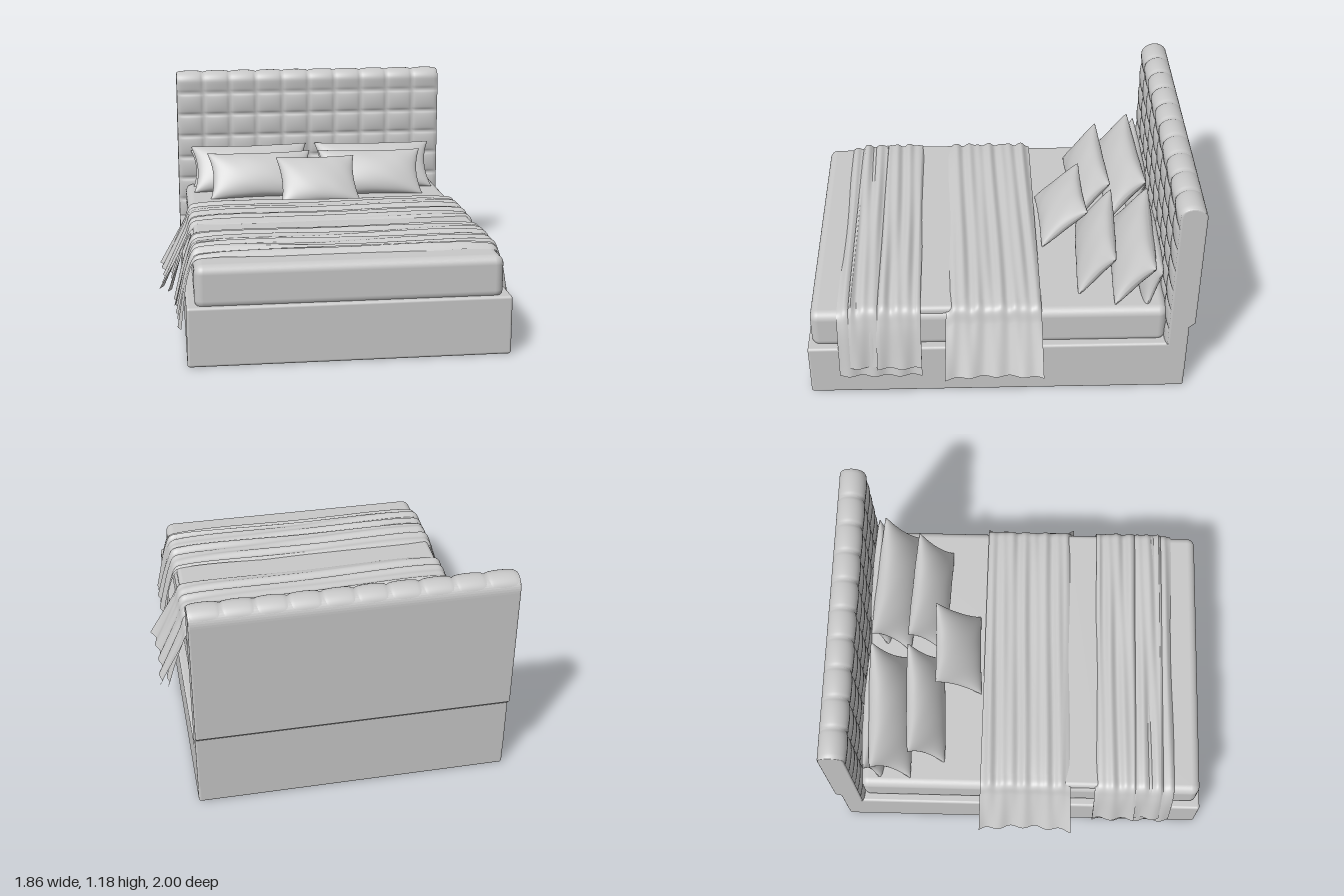
import * as THREE from 'three';
import { mergeGeometries } from 'three/addons/utils/BufferGeometryUtils.js';
import { RoundedBoxGeometry } from 'three/addons/geometries/RoundedBoxGeometry.js';
import { ParametricGeometry } from 'three/addons/geometries/ParametricGeometry.js';

const grey = new THREE.MeshStandardMaterial({ color: 0xc8c8c8, side: THREE.DoubleSide });
grey.name = 'light grey fabric';

function mesh(name, geometry) {
  const m = new THREE.Mesh(geometry, grey);
  m.name = name;
  return m;
}

function roundedBox(name, w, h, d, r, y, z) {
  const m = mesh(name, new RoundedBoxGeometry(w, h, d, 5, r));
  m.position.set(0, y, z);
  return m;
}

function surface(name, fn, nu, nv) {
  const g = new ParametricGeometry(fn, nu, nv);
  g.computeVertexNormals();
  return mesh(name, g);
}

// Headboard body: side profile (z, y) swept across the width
function headboardCore() {
  const s = new THREE.Shape();
  s.moveTo(-0.876, 0.1);
  s.lineTo(-0.876, 1.11);
  s.quadraticCurveTo(-0.876, 1.16, -0.93, 1.16);
  s.quadraticCurveTo(-0.99, 1.16, -0.99, 1.1);
  s.lineTo(-0.99, 0.44);
  s.lineTo(-0.96, 0.41);
  s.lineTo(-0.96, 0.1);
  const g = new THREE.ExtrudeGeometry(s, {
    depth: 1.58, bevelThickness: 0.01, bevelSize: 0.01, bevelSegments: 3, curveSegments: 10,
  });
  g.rotateY(-Math.PI / 2).translate(0.79, 0, 0);
  return mesh('headboardBody', g);
}

// Tufted face: ten columns and square rows, with the columns running over the top
function headboardTufts() {
  return surface('headboardTufting', (u, v, p) => {
    const puffX = Math.pow(Math.abs(Math.sin(Math.PI * u * 10)), 0.4);
    let y, z = -0.865, ny = 0, nz = 1, puffY;
    if (v <= 0.75) {
      const row = v * 8;
      y = 0.27 + 0.13 * row;
      puffY = Math.pow(Math.abs(Math.sin(Math.PI * row)), 0.4);
    } else {
      const w = (v - 0.75) * 4;
      const a = Math.max(0, (w - 0.2) / 0.8) * Math.PI;
      ny = Math.sin(a);
      nz = Math.cos(a);
      y = 1.05 + 0.065 * Math.min(1, w / 0.2) + 0.055 * ny;
      z = -0.93 + 0.065 * nz;
      puffY = Math.pow(Math.min(1, w * 4), 0.4) * (1 - w * w);
    }
    const d = 0.016 * puffX * puffY;
    p.set((u - 0.5) * 1.598, y + d * ny, z + d * nz);
  }, 120, 96);
}

// Throw draped over the mattress, with creases on top and flaps at both sides
function cloth(name, z0, z1, hemX, hemY, topY, seed, flare = 0) {
  const half = new THREE.CatmullRomCurve3([
    [0, topY], [0.68, topY], [0.75, topY - 0.015], [0.785, topY - 0.09], [hemX, hemY],
  ].map(([x, y]) => new THREE.Vector3(x, y, 0)));
  const c = new THREE.Vector3();
  return surface(name, (u, v, p) => {
    const s = 2 * u - 1;
    half.getPoint(Math.abs(s), c);
    const drop = THREE.MathUtils.clamp((topY - c.y) / (topY - hemY), 0, 1);
    const edge = Math.min(1, 12 * v, 12 * (1 - v));
    const x = Math.sign(s) * c.x;
    const end = 1 - 2 * v;
    const z = z1 + (z0 - z1) * v;
    const crease = 0.006 * Math.sin(z * 62 + seed + Math.sin(x * 3 + seed))
      + 0.005 * Math.sin(z * 101 + x * 2.5 + seed);
    const out = drop * (0.009 * Math.sin(z * 48 + seed) + flare * (end * end - 0.6));
    p.set(x + Math.sign(s) * out, c.y + (1 - drop) * (crease - 0.018 * (1 - edge)),
      z + drop * flare * 0.5 * end);
  }, 64, 60);
}

// Soft cushion with pinched sides and pointed corners
function pillow(name, w, h, t, [x, y, z], tilt, turn = 0) {
  const front = new THREE.PlaneGeometry(2, 2, 28, 24);
  const a = front.attributes.position;
  for (let i = 0; i < a.count; i++) {
    const u = Math.sin(a.getX(i) * Math.PI / 2), v = Math.sin(a.getY(i) * Math.PI / 2);
    const iu = 1 - u * u, iv = 1 - v * v;
    const bulge = Math.pow(Math.max(0, iu * iv), 0.42);
    const wrinkle = 1 + 0.04 * Math.sin(9 * u + 5 * v) * (1 - iu * iv);
    a.setXYZ(i, u * w / 2 * (1 - 0.09 * iv), v * h / 2 * (1 - 0.1 * iu), t / 2 * bulge * wrinkle);
  }
  front.computeVertexNormals();
  const m = mesh(name, mergeGeometries([front, front.clone().rotateY(Math.PI)]));
  m.position.set(x, y, z);
  m.rotation.set(tilt, turn, 0, 'YXZ');
  return m;
}

export function createModel() {
  const bed = new THREE.Group();
  bed.name = 'bed';

  // Frame and mattress
  bed.add(
    roundedBox('bedBase', 1.6, 0.3, 1.97, 0.014, 0.15, 0.015),
    headboardCore(),
    headboardTufts(),
    roundedBox('mattress', 1.52, 0.22, 1.84, 0.045, 0.39, 0.06),
    roundedBox('duvetFold', 1.49, 0.06, 0.24, 0.025, 0.493, 0.35),
  );

  // Wide throw in the middle, with a lining layer beneath
  bed.add(
    cloth('middleThrow', -0.21, 0.28, 0.912, 0.185, 0.532, 0.4, 0.022),
    cloth('middleThrowLining', -0.2, 0.27, 0.87, 0.165, 0.515, 0.4, 0.022),
  );

  // Folded throw at the foot
  bed.add(
    cloth('footThrowLining', 0.41, 0.84, 0.832, 0.14, 0.518, 1.5),
    cloth('footThrowRearFold', 0.41, 0.64, 0.845, 0.2, 0.535, 2.2),
    cloth('footThrowFrontFold', 0.62, 0.78, 0.838, 0.2, 0.533, 3.6),
  );

  // Two mirrored stacks of pillows and a small cushion in front
  for (const [side, k] of [['left', 1], ['right', -1]]) {
    bed.add(
      pillow(side + 'RearPillow', 0.68, 0.25, 0.11, [0.385 * k, 0.59, -0.785], -0.3, 0),
      pillow(side + 'BackPillow', 0.7, 0.31, 0.16, [0.37 * k, 0.618, -0.705], -0.68, -0.05 * k),
      pillow(side + 'MiddlePillow', 0.61, 0.3, 0.14, [0.325 * k, 0.613, -0.515], -0.65, -0.05 * k),
    );
  }
  bed.add(pillow('smallCushion', 0.46, 0.33, 0.13, [-0.005, 0.612, -0.35], -0.82, 0.04));
  return bed;
}
